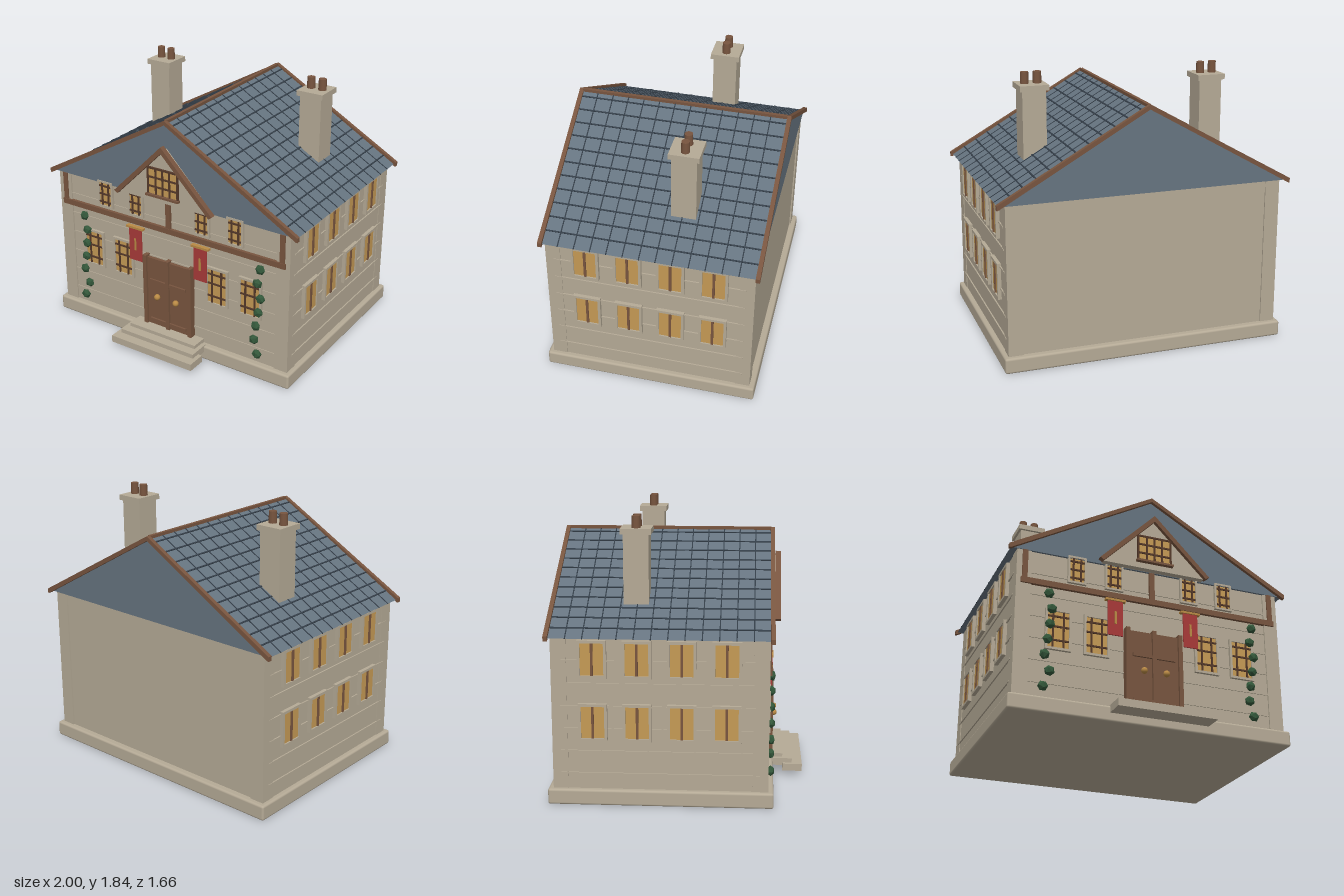
import * as THREE from 'three';
import { RoundedBoxGeometry } from 'three/addons/geometries/RoundedBoxGeometry.js';

const mat = (name, color, extra = {}) => {
  const m = new THREE.MeshStandardMaterial({ color, ...extra });
  m.name = name;
  return m;
};

export function createModel() {
  const stone = mat('stone', 0xb5aa96);
  const slate = mat('slate', 0x667480);
  const seam = mat('slateSeam', 0x323c46);
  const timber = mat('timber', 0x78553f);
  const darkTimber = mat('darkTimber', 0x55392a);
  const glass = mat('warmGlass', 0xc59a55);
  const red = mat('bannerRed', 0xa83a38);
  const gold = mat('brass', 0xb98a45);
  const green = mat('ivyGreen', 0x33573a, { flatShading: true });

  const house = new THREE.Group();
  house.name = 'house';

  const add = (parent, name, geometry, material, x = 0, y = 0, z = 0) => {
    const m = new THREE.Mesh(geometry, material);
    m.name = name;
    m.position.set(x, y, z);
    parent.add(m);
    return m;
  };
  // box given by its limits on each axis
  const block = (parent, name, material, x0, x1, y0, y1, z0, z1) =>
    add(parent, name, new THREE.BoxGeometry(x1 - x0, y1 - y0, z1 - z0), material,
      (x0 + x1) / 2, (y0 + y1) / 2, (z0 + z1) / 2);
  const group = (name, parent = house) => {
    const g = new THREE.Group();
    g.name = name;
    parent.add(g);
    return g;
  };
  // flat outline extruded from z0 to z1
  const prism = (parent, name, material, pts, z0, z1) => {
    const shape = new THREE.Shape(pts.map(p => new THREE.Vector2(p[0], p[1])));
    const geo = new THREE.ExtrudeGeometry(shape, { depth: z1 - z0, bevelEnabled: false });
    return add(parent, name, geo, material, 0, 0, z0);
  };
  const chevron = (parent, name, material, w, y, peak, t, z0, z1) =>
    prism(parent, name, material,
      [[-w, y], [-w, y - t], [-w + 0.01, y - t], [0, peak - t], [w - 0.01, y - t], [w, y - t], [w, y], [0, peak]], z0, z1);

  // plinth and walls
  add(house, 'plinth', new RoundedBoxGeometry(1.94, 0.105, 1.46, 2, 0.015), stone, 0, 0.0525, -0.1);
  block(house, 'walls', stone, -0.935, 0.935, 0.1, 1.12, -0.785, 0.585);
  for (const s of [-1, 1]) {
    for (const z of [-0.745, 0.545])
      add(house, 'cornerPilaster', new THREE.BoxGeometry(0.1, 1.01, 0.1), stone, s * 0.89, 0.61, z);
  }
  block(house, 'backBand', stone, -0.84, 0.84, 1.03, 1.11, -0.79, -0.78);
  for (let i = 0; i < 6; i++) {
    const y = 0.21 + i * 0.15;
    block(house, 'frontCourse', stone, -0.84, 0.84, y - 0.005, y + 0.005, 0.58, 0.591);
    for (const s of [-1, 1])
      add(house, 'sideCourse', new THREE.BoxGeometry(0.012, 0.01, 1.28), stone, s * 0.938, y, -0.1);
  }

  // steps
  const steps = group('steps');
  block(steps, 'bottomStep', stone, -0.335, 0.335, 0.03, 0.08, 0.7, 0.835);
  block(steps, 'middleStep', stone, -0.305, 0.305, 0.06, 0.11, 0.61, 0.766);
  block(steps, 'topStep', stone, -0.275, 0.275, 0.105, 0.135, 0.57, 0.7);

  // roof body with its slate grid
  const W = 0.985, EAVE = 1.112, PEAK = 1.677;
  const roof = group('roof');
  prism(roof, 'roofBody', slate, [[-W, EAVE], [W, EAVE], [0, PEAK]], -0.805, 0.6);
  const slopeLength = Math.hypot(W, PEAK - EAVE);
  const angle = Math.atan2(PEAK - EAVE, W);
  for (const s of [-1, 1]) {
    for (let i = 1; i < 12; i++) {
      const t = i / 11.5;
      const bar = add(roof, 'slateRow', new THREE.BoxGeometry(0.01, 0.008, 1.4), seam,
        s * W * (1 - t), EAVE + (PEAK - EAVE) * t, -0.1);
      bar.rotation.z = -s * angle;
    }
    for (let i = 1; i < 13; i++) {
      const bar = add(roof, 'slateColumn', new THREE.BoxGeometry(slopeLength, 0.006, 0.007), seam,
        s * W / 2, (EAVE + PEAK) / 2, 0.6 - i * 1.4 / 13);
      bar.rotation.z = -s * angle;
    }
  }
  chevron(roof, 'frontVerge', timber, 1, 1.127, 1.69, 0.03, 0.595, 0.623);
  chevron(roof, 'backVerge', timber, 1, 1.127, 1.69, 0.03, -0.828, -0.8);
  block(roof, 'ridgeCap', timber, -0.012, 0.012, 1.665, 1.69, -0.8, 0.6);

  // chimneys with paired pots
  for (const s of [-1, 1]) {
    const c = group('chimney');
    c.position.set(s * 0.62, 0, -0.27);
    block(c, 'chimneyStack', stone, -0.08, 0.08, 1.275, 1.74, -0.082, 0.082);
    block(c, 'chimneyCap', stone, -0.097, 0.097, 1.73, 1.767, -0.1, 0.1);
    for (const p of [-1, 1])
      add(c, 'chimneyPot', new THREE.CylinderGeometry(0.027, 0.029, 0.085, 10), timber, p * 0.043, 1.802, 0);
  }

  // window facing +z, centred on its own origin
  const makeWindow = (name, w, h, f, bars, rails, barMat, thick = 0.011) => {
    const g = group(name);
    const W2 = w / 2, H2 = h / 2;
    for (const s of [-1, 1]) {
      add(g, 'frameSide', new THREE.BoxGeometry(f, h + 2 * f, 0.03), stone, s * (W2 + f / 2), 0, 0.005);
      add(g, 'frameEnd', new THREE.BoxGeometry(w, f, 0.03), stone, 0, s * (H2 + f / 2), 0.005);
    }
    add(g, 'pane', new THREE.BoxGeometry(w, h, 0.009), glass, 0, 0, 0.006);
    for (const x of bars) add(g, 'mullion', new THREE.BoxGeometry(thick, h, 0.014), barMat, x, 0, 0.012);
    for (const y of rails) add(g, 'glazingRail', new THREE.BoxGeometry(w, thick, 0.014), barMat, 0, y, 0.012);
    return g;
  };
  for (const s of [-1, 1]) {
    for (const x of [0.39, 0.65])
      makeWindow('lowerFrontWindow', 0.144, 0.25, 0.016, [-0.036, 0.036], [-0.075, 0.02, 0.09], darkTimber)
        .position.set(s * x, 0.58, 0.585);
    for (const x of [0.27, 0.53])
      makeWindow('upperFrontWindow', 0.1, 0.17, 0.014, [-0.026, 0.026], [-0.06, 0, 0.06], darkTimber)
        .position.set(s * x, 1.03, 0.585);
    for (const z of [0.325, 0.04, -0.245, -0.53]) {
      for (const y of [0.557, 0.972]) {
        const w = makeWindow('sideWindow', 0.15, 0.21, 0.018, [0], [], timber, 0.016);
        w.position.set(s * 0.94, y, z);
        w.rotation.y = s * Math.PI / 2;
      }
    }
  }

  // timber framing across the upper front
  block(house, 'frontBeam', timber, -0.91, 0.91, 0.873, 0.912, 0.58, 0.607);
  for (const x of [-0.885, 0, 0.885])
    block(house, 'frontPost', timber, x - 0.018, x + 0.018, 0.91, 1.112, 0.58, 0.604);

  // small front gable with its window
  const gable = group('frontGable');
  prism(gable, 'gableWall', stone, [[-0.365, 1.115], [0.365, 1.115], [0, 1.495]], 0.6, 0.642);
  prism(gable, 'gableTrim', timber,
    [[-0.395, 1.125], [-0.37, 1.107], [0, 1.478], [0.37, 1.107], [0.395, 1.125], [0, 1.523]], 0.63, 0.668);
  block(gable, 'gablePane', glass, -0.12, 0.12, 1.165, 1.355, 0.64, 0.649);
  for (const x of [-0.118, -0.055, 0, 0.055, 0.118])
    block(gable, 'gableMullion', darkTimber, x - 0.006, x + 0.006, 1.165, 1.358, 0.642, 0.656);
  for (const y of [1.225, 1.29, 1.354])
    block(gable, 'gableRail', darkTimber, -0.124, 0.124, y - 0.006, y + 0.006, 0.642, 0.656);
  block(gable, 'gableSill', timber, -0.132, 0.132, 1.155, 1.17, 0.64, 0.67);

  // double door
  const door = group('door');
  block(door, 'doorLeaves', timber, -0.185, 0.185, 0.13, 0.655, 0.58, 0.615);
  for (const x of [-0.185, 0, 0.185])
    block(door, 'doorPost', timber, x - 0.014, x + 0.014, 0.13, 0.67, 0.58, 0.632);
  for (const s of [-1, 1]) {
    for (const y of [0.175, 0.485])
      add(door, 'doorRail', new THREE.BoxGeometry(0.145, 0.022, 0.02), timber, s * 0.077, y, 0.618);
    add(door, 'doorKnob', new THREE.SphereGeometry(0.022, 14, 10), gold, s * 0.078, 0.375, 0.638);
  }

  // hanging banners
  for (const s of [-1, 1]) {
    const b = group('banner');
    b.position.x = s * 0.268;
    block(b, 'bannerCloth', red, -0.052, 0.052, 0.6, 0.848, 0.608, 0.617);
    block(b, 'bannerRod', gold, -0.07, 0.07, 0.845, 0.86, 0.595, 0.625);
    block(b, 'bannerStripe', gold, -0.007, 0.007, 0.68, 0.77, 0.616, 0.621);
  }

  // climbing ivy clumps
  const ivyX = { '-1': [0.745, 0.705, 0.74, 0.722, 0.71, 0.7, 0.72], '1': [0.715, 0.69, 0.702, 0.72, 0.735, 0.71, 0.73] };
  for (const s of [-1, 1]) {
    ivyX[s].forEach((x, i) => {
      const leaf = add(house, 'ivyClump', new THREE.IcosahedronGeometry(0.036, 0), green,
        s * x, 0.18 + i * 0.107, 0.61);
      leaf.scale.z = 0.75;
      leaf.rotation.z = i * 0.7;
    });
  }
  return house;
}
